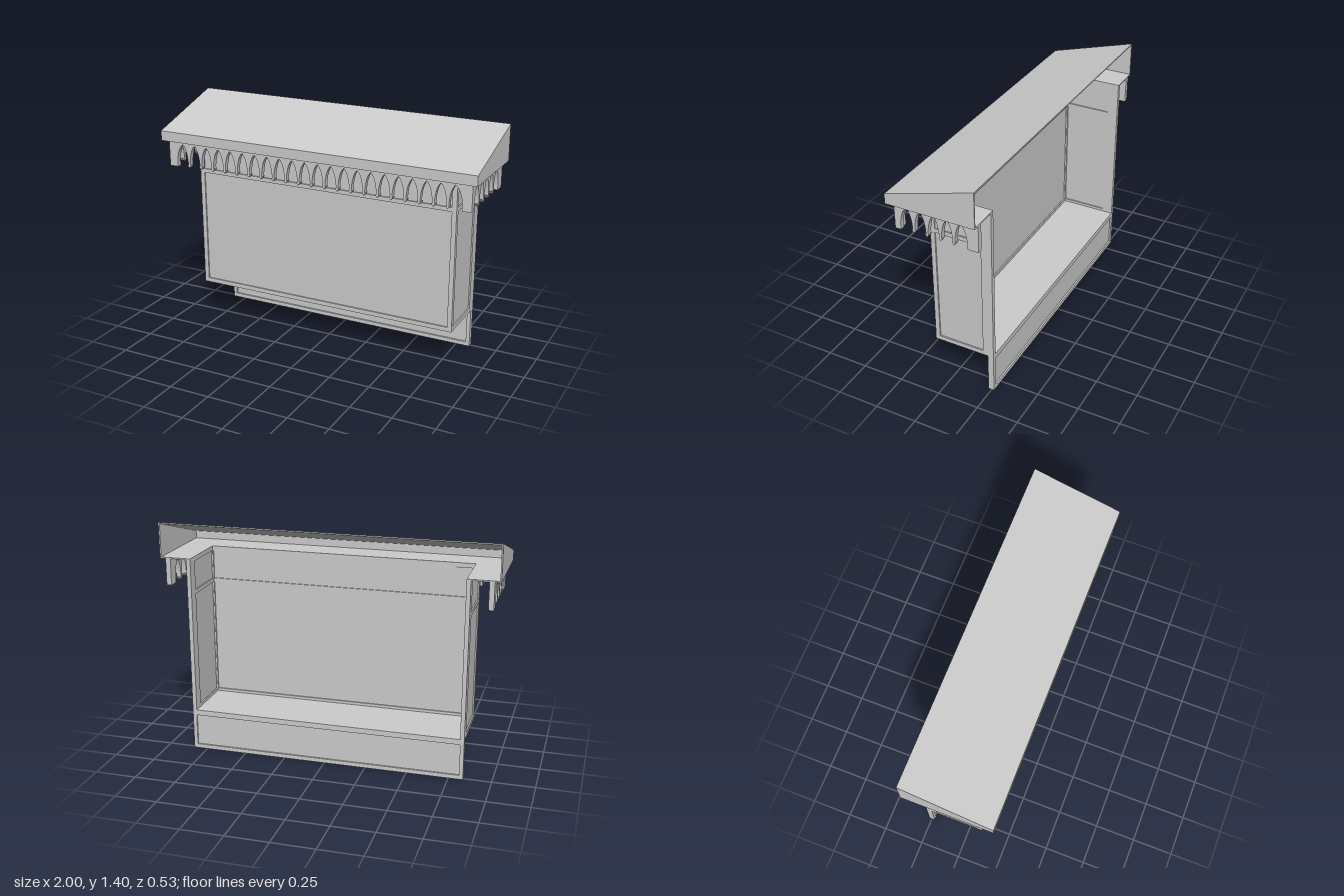
import * as THREE from 'three';

const material = new THREE.MeshStandardMaterial({ color: 0xcccccc, flatShading: true, side: THREE.DoubleSide });

function add(parent, name, geometry, x = 0, y = 0, z = 0) {
  const mesh = new THREE.Mesh(geometry, material);
  mesh.name = name;
  mesh.position.set(x, y, z);
  parent.add(mesh);
  return mesh;
}

const polygon = (points) => new THREE.Shape(points.map(([x, y]) => new THREE.Vector2(x, y)));
const extrude = (shape, depth) => new THREE.ExtrudeGeometry(shape, { depth, bevelEnabled: false, curveSegments: 8 });
const rectangle = (x0, y0, x1, y1) => [[x0, y0], [x1, y0], [x1, y1], [x0, y1]];

// Flat frame with rectangular openings, each closed by a thin recessed pane
function framedPanel(name, outer, openings, thickness, pane) {
  const group = new THREE.Group();
  group.name = name;
  const frame = polygon(rectangle(...outer));
  for (const [x0, y0, x1, y1] of openings) {
    frame.holes.push(polygon(rectangle(x0, y0, x1, y1)));
    add(group, 'pane', new THREE.BoxGeometry(x1 - x0, y1 - y0, pane),
      (x0 + x1) / 2, (y0 + y1) / 2, thickness / 2);
  }
  add(group, 'frame', extrude(frame, thickness));
  return group;
}

// Board with a row of pointed arches separated by arrow-tipped drops
function valanceShape(x0, a0, a1, x1, count) {
  const top = 1.19, low = 1.03, neck = 1.065, peak = 1.172;
  const pitch = (a1 - a0) / count;
  const s = new THREE.Shape();
  s.moveTo(x0, top);
  s.lineTo(x0, low);
  s.lineTo(a0, low);
  for (let i = 0; i < count; i++) {
    const l = a0 + i * pitch, r = l + pitch, m = (l + r) / 2;
    const li = l + (i ? 0.007 : 0), ri = r - (i < count - 1 ? 0.007 : 0);
    s.lineTo(li, neck);
    s.quadraticCurveTo(li + 0.006, 1.145, m, peak);
    s.quadraticCurveTo(ri - 0.006, 1.145, ri, neck);
    if (i < count - 1) {
      s.lineTo(r - 0.007, 1.048);
      s.lineTo(r - 0.013, 1.048);
      s.lineTo(r, low);
      s.lineTo(r + 0.013, 1.048);
      s.lineTo(r + 0.007, 1.048);
    }
  }
  s.lineTo(a1, low);
  s.lineTo(x1, low);
  s.lineTo(x1, top);
  return s;
}

export function createModel() {
  const model = new THREE.Group();
  model.name = 'bayWindow';
  const W = 0.835, back = -0.265, front = 0.105, t = 0.025;

  // Front wall with a large pane and a narrow upper pane
  const frontWall = framedPanel('frontWall', [-W, 0.24, W, 1.195],
    [[-0.807, 0.267, 0.807, 0.97], [-0.807, 0.995, 0.807, 1.17]], t, 0.009);
  frontWall.position.z = front - t;
  model.add(frontWall);

  // Side walls and side valances, mirrored
  for (const side of [1, -1]) {
    const label = side > 0 ? 'left' : 'right';
    const wall = framedPanel(label + 'Wall', [back, 0.24, front, 1.195],
      [[-0.2, 0.267, 0.078, 0.97], [-0.2, 0.995, 0.078, 1.17]], t, 0.009);
    wall.rotation.y = -Math.PI / 2;
    wall.position.x = side > 0 ? W : -W + t;
    model.add(wall);

    const valance = add(model, label + 'Valance',
      extrude(valanceShape(back, -0.2, 0.2, 0.235, 5), 0.03), side > 0 ? 0.965 : -0.935);
    valance.rotation.y = -Math.PI / 2;
  }

  add(model, 'frontValance', extrude(valanceShape(-0.965, -0.91, 0.91, 0.965, 22), 0.03), 0, 0, 0.205);

  // Sill and the apron panel below it
  add(model, 'sill', new THREE.BoxGeometry(2 * W, 0.01, front - back), 0, 0.245, (front + back) / 2);
  const apron = framedPanel('apron', [-W, 0, W, 0.24], [[-0.812, 0.025, 0.812, 0.217]], 0.035, 0.015);
  apron.position.z = back;
  model.add(apron);

  // Hollow lean-to roof: sloping top and fascia, gable ends, soffit
  const roof = new THREE.Group();
  roof.name = 'roof';
  model.add(roof);
  const cover = add(roof, 'roofCover', extrude(polygon([
    [back, 1.405], [0.265, 1.25], [0.265, 1.19], [0.257, 1.19], [0.257, 1.244], [back, 1.397],
  ]), 2), 1);
  cover.rotation.y = -Math.PI / 2;
  for (const x of [1, -0.992]) {
    const gable = add(roof, 'gableEnd', extrude(polygon([
      [back, 1.19], [0.265, 1.19], [0.265, 1.25], [back, 1.405],
    ]), 0.008), x);
    gable.rotation.y = -Math.PI / 2;
  }
  // Drawn in x and -z, then laid flat around the open top of the bay
  const soffit = add(roof, 'soffit', extrude(polygon([
    [-1, 0.265], [-1, -0.265], [1, -0.265], [1, 0.265],
    [W - t, 0.265], [W - t, -front + t], [-W + t, -front + t], [-W + t, 0.265],
  ]), 0.008), 0, 1.19, 0);
  soffit.rotation.x = -Math.PI / 2;

  return model;
}
